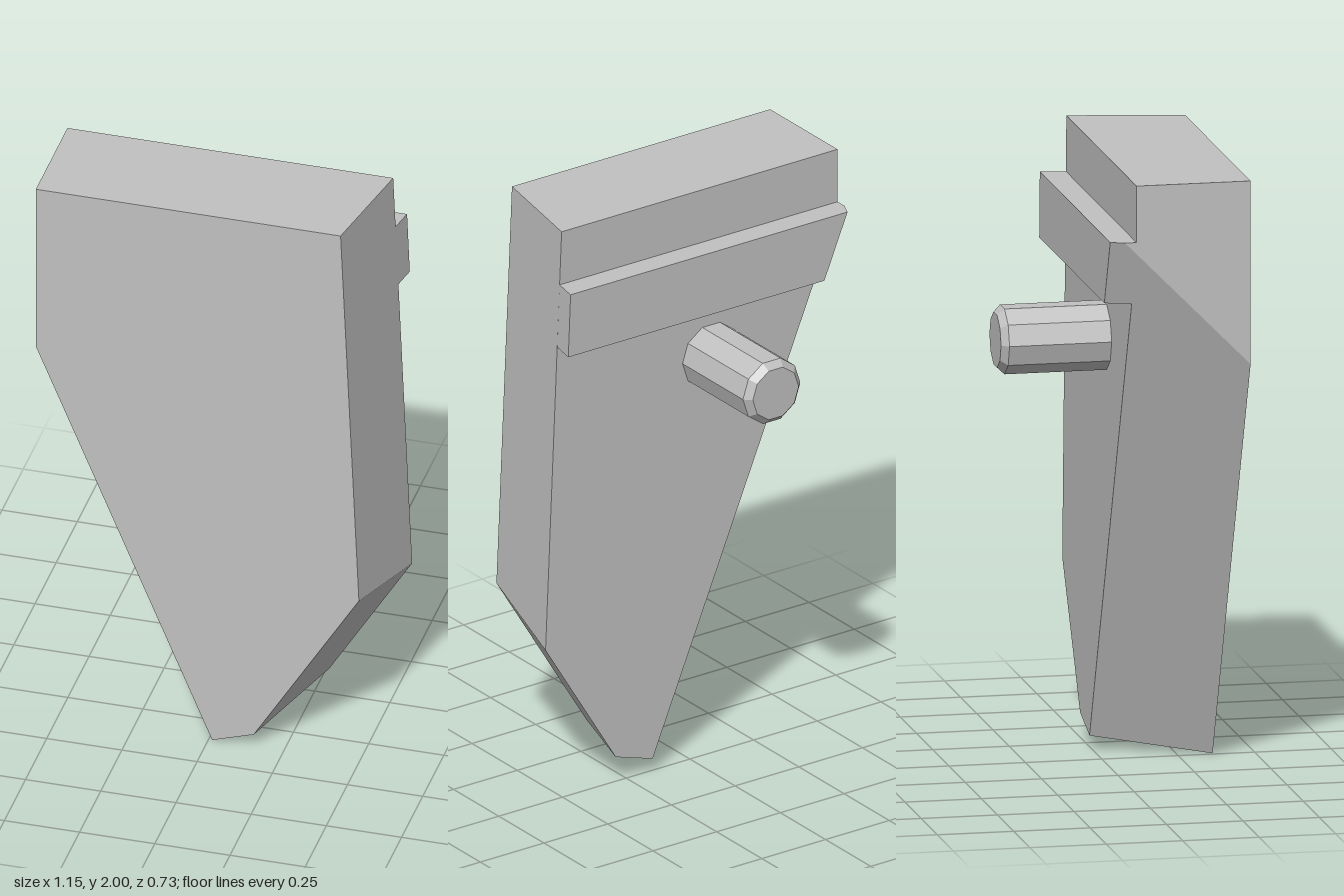
import * as THREE from 'three';

// Solid through matching convex sections, ordered front to back,
// each { z, points } listed clockwise as seen from the front.
function loft(sections) {
  const pos = [];
  const vertex = (s, i) => {
    const [x, y] = s.points[i % s.points.length];
    pos.push(x, y, s.z);
  };
  const first = sections[0];
  const last = sections[sections.length - 1];
  const n = first.points.length;
  for (let i = 1; i < n - 1; i++) {
    vertex(first, 0); vertex(first, i + 1); vertex(first, i);
    vertex(last, 0); vertex(last, i); vertex(last, i + 1);
  }
  for (let s = 0; s < sections.length - 1; s++) {
    const a = sections[s], b = sections[s + 1];
    for (let i = 0; i < n; i++) {
      vertex(a, i); vertex(a, i + 1); vertex(b, i + 1);
      vertex(a, i); vertex(b, i + 1); vertex(b, i);
    }
  }
  const geometry = new THREE.BufferGeometry();
  geometry.setAttribute('position', new THREE.Float32BufferAttribute(pos, 3));
  geometry.computeVertexNormals();
  return geometry;
}

export function createModel() {
  const model = new THREE.Group();
  model.name = 'taperedPlate';
  const grey = new THREE.MeshStandardMaterial({ color: 0xc0c0c0, flatShading: true });
  grey.name = 'light grey';

  const add = (name, geometry) => {
    const mesh = new THREE.Mesh(geometry, grey);
    mesh.name = name;
    model.add(mesh);
    return mesh;
  };

  const left = -0.574;
  const back = -0.008;

  // Thick pointed plate with bevelled edges
  add('plate', loft([
    { z: 0.365, points: [[left, 2], [0.439, 2], [0.5, 0.617], [0.15, 0.045], [0.012, 0], [left, 1.4]] },
    { z: back, points: [[left, 2], [0.509, 2], [0.572, 0.54], [0.297, 0.09], [0.152, 0.045], [left, 1.777]] },
  ]));

  // Rail across the back, its ends cut along the plate's bevels
  const top = 1.815, bottom = 1.597;
  add('rail', loft([
    { z: back, points: [[left, top], [0.517, top], [0.526, bottom], [-0.499, bottom], [left, 1.777]] },
    { z: -0.046, points: [[left, top], [0.524, top], [0.533, bottom], [-0.483, bottom], [left, top]] },
    { z: -0.09, points: [[-0.555, top], [0.532, top], [0.541, bottom], [-0.464, bottom], [-0.555, top]] },
  ]));

  // Ten-sided peg with a chamfered end
  const profile = [[0.1125, 0], [0.1125, 0.342], [0.09, 0.365], [0, 0.365]]
    .map(([r, h]) => new THREE.Vector2(r, h));
  const peg = add('peg', new THREE.LatheGeometry(profile, 10, Math.PI / 2));
  peg.rotation.x = -Math.PI / 2;
  peg.position.set(-0.078, 1.407, 0);

  return model;
}
